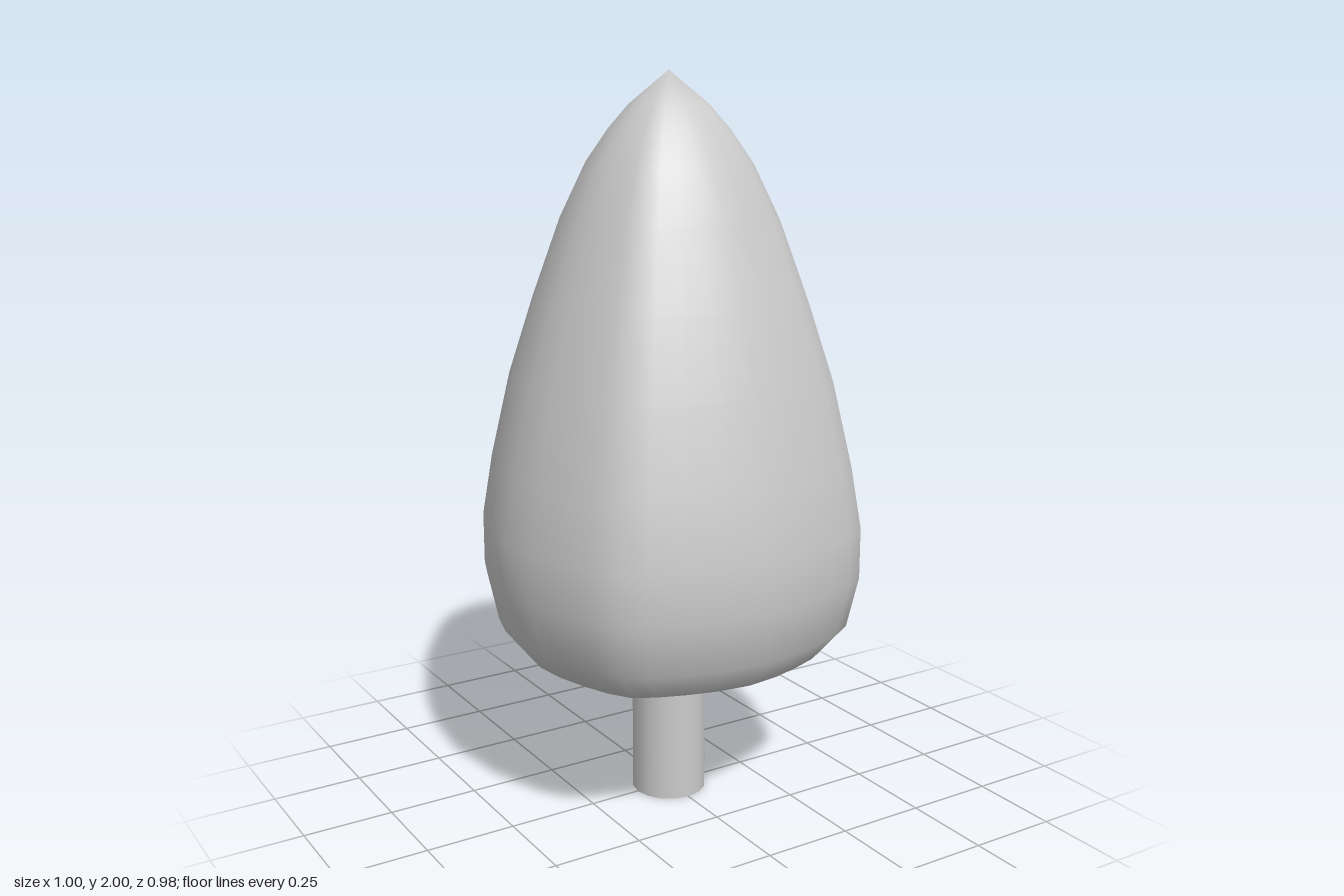
import * as THREE from 'three';
import { mergeVertices } from 'three/addons/utils/BufferGeometryUtils.js';

// Crown outline from the bottom centre to the tip: [half width, height]
const PROFILE = [
  [0, 0.37], [0.12, 0.374], [0.22, 0.382], [0.32, 0.405], [0.405, 0.44], [0.47, 0.52],
  [0.5, 0.66], [0.5, 0.8], [0.472, 0.97], [0.42, 1.2], [0.354, 1.41], [0.28, 1.62],
  [0.212, 1.765], [0.155, 1.85], [0.1, 1.915], [0, 2],
];

// One eighth of the rounded-square cross-section, from mid-side to corner
const SECTION = [[1, 0], [0.97, 0.23], [0.91, 0.44], [0.84, 0.62], [0.755, 0.755]];
const SEGMENTS = 32;
const DEPTH = 0.983;

// Mirror the eighth around the ring
function sectionPoint(i) {
  const step = i % 8;
  const [u, v] = step <= 4 ? SECTION[step] : [SECTION[8 - step][1], SECTION[8 - step][0]];
  const turn = Math.floor(i / 8) * Math.PI / 2;
  return [
    u * Math.sin(turn) + v * Math.cos(turn),
    u * Math.cos(turn) - v * Math.sin(turn),
  ];
}

function crownGeometry() {
  const geometry = new THREE.LatheGeometry(PROFILE.map(([r, y]) => new THREE.Vector2(r, y)), SEGMENTS);
  const position = geometry.attributes.position;
  // Push each round ring out to a rounded square
  for (let i = 0; i <= SEGMENTS; i++) {
    const [sx, sz] = sectionPoint(i % SEGMENTS);
    PROFILE.forEach(([r, y], j) => {
      position.setXYZ(i * PROFILE.length + j, r * sx, y, r * sz * DEPTH);
    });
  }
  // Weld the seam and poles for smooth shading
  geometry.deleteAttribute('uv');
  geometry.deleteAttribute('normal');
  const welded = mergeVertices(geometry, 1e-4);
  welded.computeVertexNormals();
  return welded;
}

export function createModel() {
  const model = new THREE.Group();
  model.name = 'tree';

  const crown = new THREE.Mesh(crownGeometry(), new THREE.MeshStandardMaterial({ color: 0xcccccc }));
  crown.name = 'crown';

  // Trunk: open tube running slightly into the crown
  const trunk = new THREE.Mesh(
    new THREE.CylinderGeometry(0.104, 0.104, 0.42, 16, 1, true),
    new THREE.MeshStandardMaterial({ color: 0xcccccc, side: THREE.DoubleSide }),
  );
  trunk.position.y = 0.21;
  trunk.name = 'trunk';

  model.add(crown, trunk);
  return model;
}
